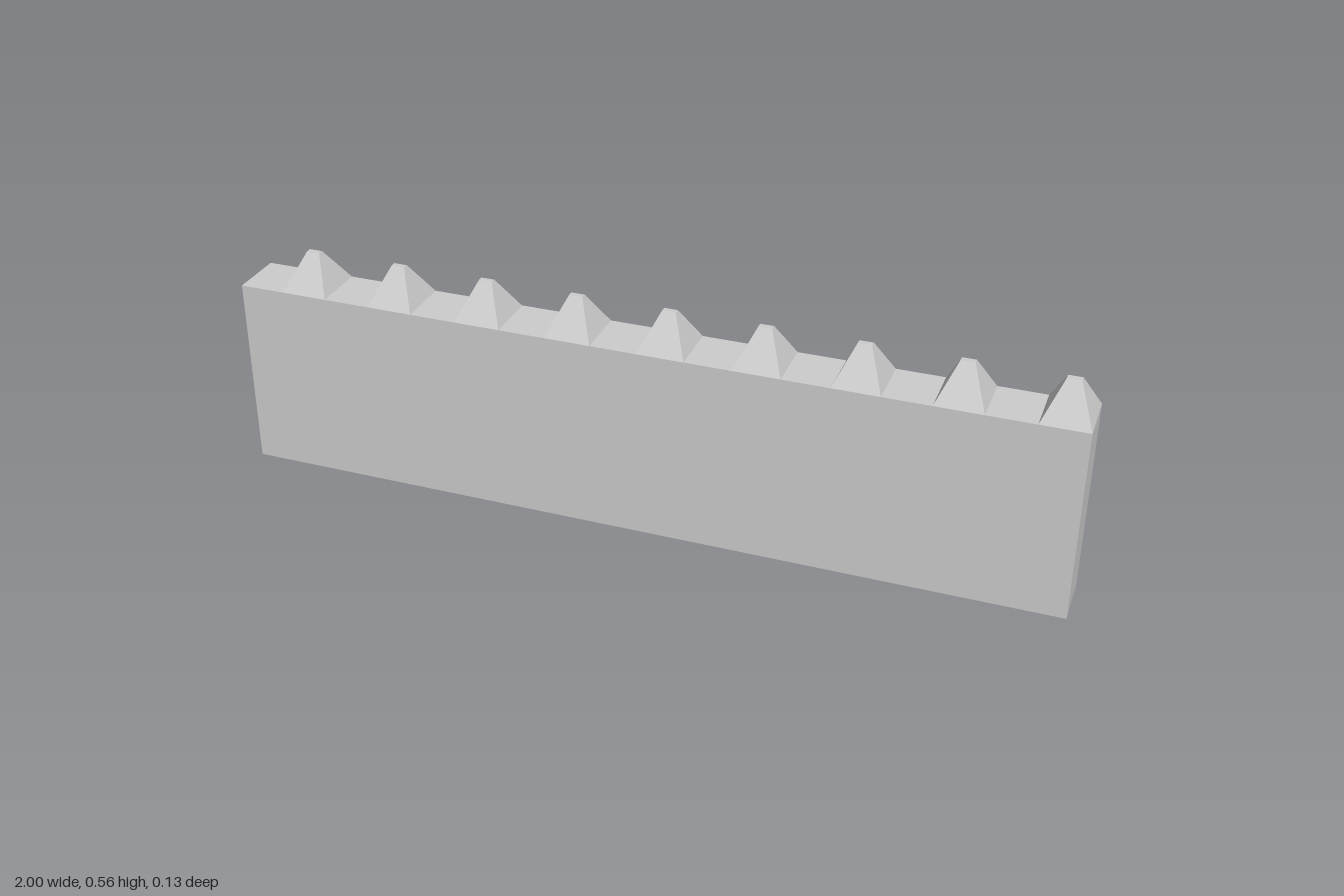
import * as THREE from 'three';

const LENGTH = 2, DEPTH = 0.134, WALL_H = 0.468, SPIKE_H = 0.087;
const SPIKES = 9, PITCH = LENGTH / SPIKES, SPIKE_W = PITCH / 2;
const TIP_W = 0.032, TIP_D = 0.014;

// Box whose upper corners are drawn in to a small flat tip
function spikeGeometry() {
  const box = new THREE.BoxGeometry(SPIKE_W, SPIKE_H, DEPTH);
  const p = box.attributes.position;
  for (let i = 0; i < p.count; i++) {
    if (p.getY(i) > 0) {
      p.setX(i, Math.sign(p.getX(i)) * TIP_W / 2);
      p.setZ(i, Math.sign(p.getZ(i)) * TIP_D / 2);
    }
  }
  box.computeVertexNormals();
  return box.translate(0, SPIKE_H / 2, 0);
}

export function createModel() {
  const model = new THREE.Group();
  model.name = 'spikedWall';
  const stone = new THREE.MeshStandardMaterial({ color: 0xcccccc });
  stone.name = 'light grey stone';

  // Straight wall slab
  const wall = new THREE.Mesh(new THREE.BoxGeometry(LENGTH, WALL_H, DEPTH), stone);
  wall.name = 'wall';
  wall.position.y = WALL_H / 2;
  model.add(wall);

  // Row of spikes, flush with the +x end, one gap left at the -x end
  const geometry = spikeGeometry();
  const spikes = new THREE.Group();
  spikes.name = 'spikes';
  for (let i = 0; i < SPIKES; i++) {
    const spike = new THREE.Mesh(geometry, stone);
    spike.name = 'spike';
    spike.position.set(LENGTH / 2 - SPIKE_W / 2 - i * PITCH, WALL_H, 0);
    spikes.add(spike);
  }
  model.add(spikes);
  return model;
}
